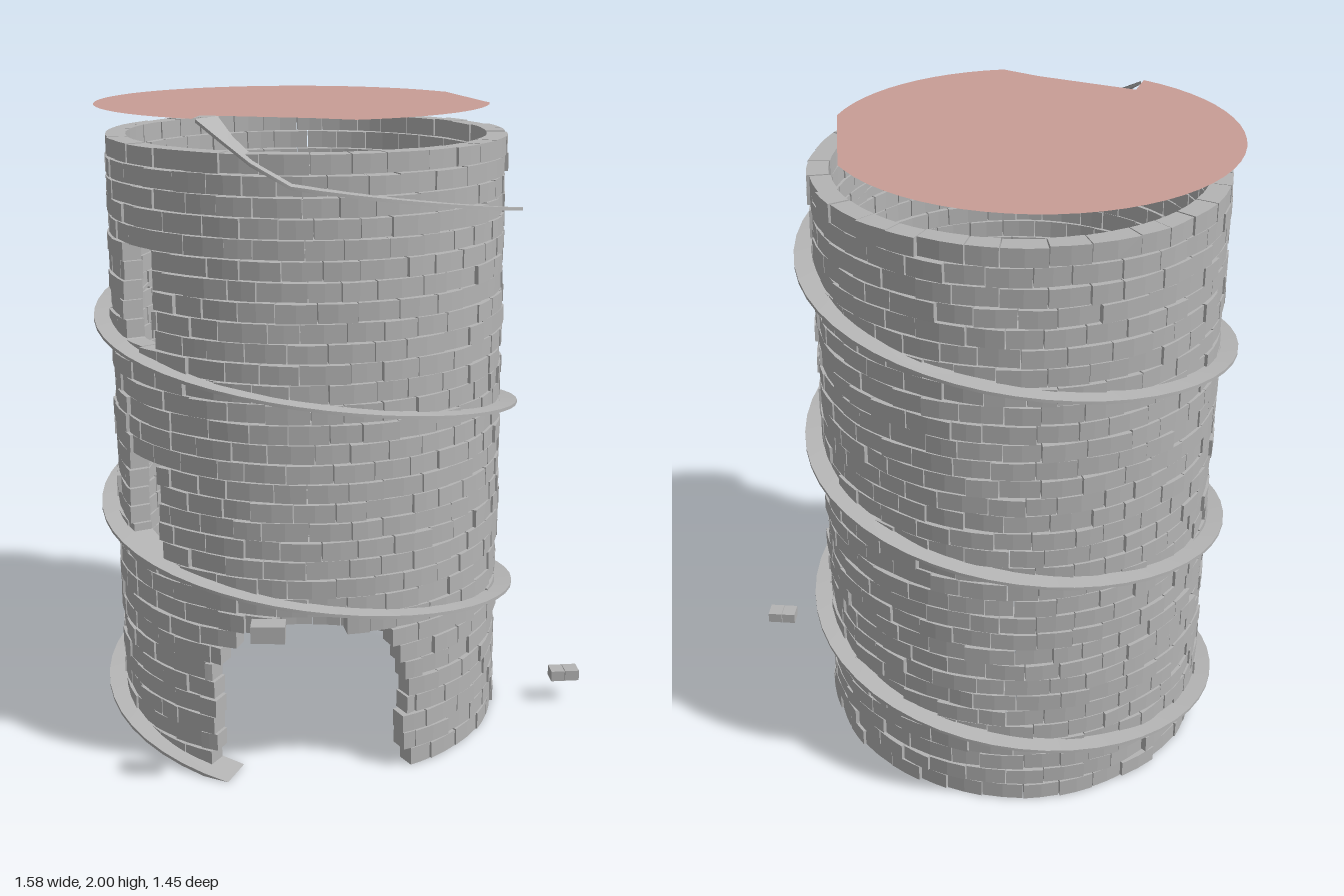
import * as THREE from 'three';
import { mergeGeometries } from 'three/addons/utils/BufferGeometryUtils.js';

const CX = -0.117, CZ = -0.055;          // tower axis
const R_IN = 0.56, R_OUT = 0.622, WALL_TOP = 1.91;
const PITCH = 0.62;                      // ramp rise per turn
const RAD = Math.PI / 180;

let seed = 7;
const rnd = () => (seed = (seed * 16807) % 2147483647) / 2147483647;
const jitter = (s) => (rnd() - 0.5) * 2 * s;

// angle runs from +x towards +z
const polar = (a, r, y) => new THREE.Vector3(CX + r * Math.cos(a), y, CZ + r * Math.sin(a));
const rampY = (a) => 0.42 + (PITCH * a) / (2 * Math.PI);

const flat = (g) => {
  const f = g.index ? g.toNonIndexed() : g;
  f.deleteAttribute('uv');
  f.computeVertexNormals();
  return f;
};

// angular span of the opening at height y, or null
function openingAt(y) {
  if (y < 0.52) {
    const half = y < 0.3 ? 0.295 : 0.3 * Math.sqrt(1 - ((y - 0.3) / 0.225) ** 2);
    const angle = (x) => Math.acos((x - CX) / R_OUT);
    return [angle(-0.155 + half) + jitter(0.03), angle(-0.155 - half) + jitter(0.03)];
  }
  for (const base of [0.68, 1.3]) if (y > base && y < base + 0.29) return [141 * RAD, 157 * RAD];
  return null;
}

// box bent around the tower axis
function curvedBrick(a0, a1, y0, y1) {
  const g = new THREE.BoxGeometry(1, 1, 1, 2, 1, 1);
  const p = g.attributes.position, bump = jitter(0.005), tilt = jitter(0.004), v = new THREE.Vector3();
  for (let i = 0; i < p.count; i++) {
    v.fromBufferAttribute(p, i);
    const a = a1 + (a0 - a1) * (v.x + 0.5);
    const r = v.z > 0 ? R_OUT + bump + tilt * v.x * 2 : R_IN + bump * 0.6;
    const q = polar(a, r, y0 + (y1 - y0) * (v.y + 0.5));
    p.setXYZ(i, q.x, q.y, q.z);
  }
  return flat(g);
}

// courses of bricks, interrupted at the doorways
function wallGeometry() {
  const rows = 32, perRow = 33, h = WALL_TOP / rows, step = (2 * Math.PI) / perRow, bricks = [];
  for (let r = 0; r < rows; r++) {
    const y0 = r * h, gap = openingAt(y0 + h / 2);
    const shift = (r % 2) * step * 0.5 + rnd() * step * 0.4;
    const cuts = [];
    for (let i = 0; i < perRow; i++) cuts.push(shift + i * step + jitter(step * 0.18));
    cuts.push(cuts[0] + 2 * Math.PI);
    for (let i = 0; i < perRow; i++) {
      const a = cuts[i] + 0.003, b = cuts[i + 1] - 0.003;
      const spans = gap ? [[a, Math.min(b, gap[0])], [Math.max(a, gap[1]), b]] : [[a, b]];
      for (const [s, e] of spans) {
        if (e - s > 0.015) bricks.push(curvedBrick(s, e, y0 + 0.001 + rnd() * 0.002, y0 + h - 0.001 - rnd() * 0.003));
      }
    }
  }
  return mergeGeometries(bricks);
}

// strip with a thin rectangular section through pairs of inner and outer points
function rampGeometry() {
  const stations = [];
  const start = (-0.42 / PITCH) * 2 * Math.PI, end = 2.25 * 2 * Math.PI + 8 * RAD, n = 150;
  for (let i = 0; i <= n; i++) {
    const a = start + ((end - start) * i) / n;
    stations.push([polar(a, 0.557, rampY(a)), polar(a, 0.678, rampY(a))]);
  }
  // steep last stretch turning in to the roof
  stations.push([new THREE.Vector3(-0.3, 1.89, 0.47), new THREE.Vector3(-0.32, 1.89, 0.585)]);
  stations.push([new THREE.Vector3(-0.36, 1.945, 0.425), new THREE.Vector3(-0.395, 1.945, 0.52)]);
  stations.push([new THREE.Vector3(-0.4, 1.998, 0.38), new THREE.Vector3(-0.465, 1.998, 0.46)]);

  const T = 0.01, pos = [], idx = [];
  const sections = stations.map(([inner, outer]) => {
    const low = (v) => new THREE.Vector3(v.x, Math.max(0, v.y - T), v.z);
    return [inner, outer, low(outer), low(inner)];
  });
  // each side has its own vertices so the long edges stay sharp
  for (let k = 0; k < 4; k++) {
    const base = pos.length / 3;
    for (const s of sections) pos.push(...s[k].toArray(), ...s[(k + 1) % 4].toArray());
    for (let i = 0; i < sections.length - 1; i++) {
      const a = base + i * 2;
      idx.push(a, a + 2, a + 1, a + 1, a + 2, a + 3);
    }
  }
  const g = new THREE.BufferGeometry();
  g.setAttribute('position', new THREE.Float32BufferAttribute(pos, 3));
  g.setIndex(idx);
  g.computeVertexNormals();
  return g;
}

// round plate with a clipped side and a notch for the ramp
function roofGeometry() {
  const cx = -0.16, cz = -0.055, r = 0.61, pts = [];
  const arc = (from, to) => {
    const n = Math.ceil((to - from) / 6);
    for (let i = 0; i <= n; i++) {
      const a = (from + ((to - from) * i) / n) * RAD;
      pts.push(new THREE.Vector2(cx + r * Math.cos(a), -(cz + r * Math.sin(a))));
    }
  };
  const point = (x, z) => pts.push(new THREE.Vector2(x, -z));
  arc(10, 77);
  point(-0.14, 0.48);
  point(-0.45, 0.37);
  arc(121, 326);
  point(0.37, -0.36);
  return new THREE.ShapeGeometry(new THREE.Shape(pts)).rotateX(-Math.PI / 2);
}

export function createModel() {
  const stone = new THREE.MeshStandardMaterial({ color: 0xb4b4b4, side: THREE.DoubleSide });
  stone.name = 'grey stone';
  const pink = new THREE.MeshStandardMaterial({ color: 0xc89d95, side: THREE.DoubleSide });
  pink.name = 'dusty pink';

  const model = new THREE.Group();
  model.name = 'brickTower';
  const add = (name, geometry, material, x = 0, y = 0, z = 0, turn = 0) => {
    const m = new THREE.Mesh(geometry, material);
    m.name = name;
    m.position.set(x, y, z);
    m.rotation.y = turn;
    model.add(m);
  };

  add('brickWall', wallGeometry(), stone);
  add('spiralRamp', rampGeometry(), stone);
  add('roofPlate', roofGeometry(), pink, 0, 1.999, 0);

  // loose bricks
  add('looseBrickDoor', new THREE.BoxGeometry(0.1, 0.052, 0.062), stone, -0.292, 0.55, 0.678, -0.12);
  for (const x of [0.709, 0.757]) {
    add('looseBrickSide', new THREE.BoxGeometry(x < 0.73 ? 0.045 : 0.047, 0.035, 0.056), stone, x, 0.098, 0.096);
  }
  return model;
}
